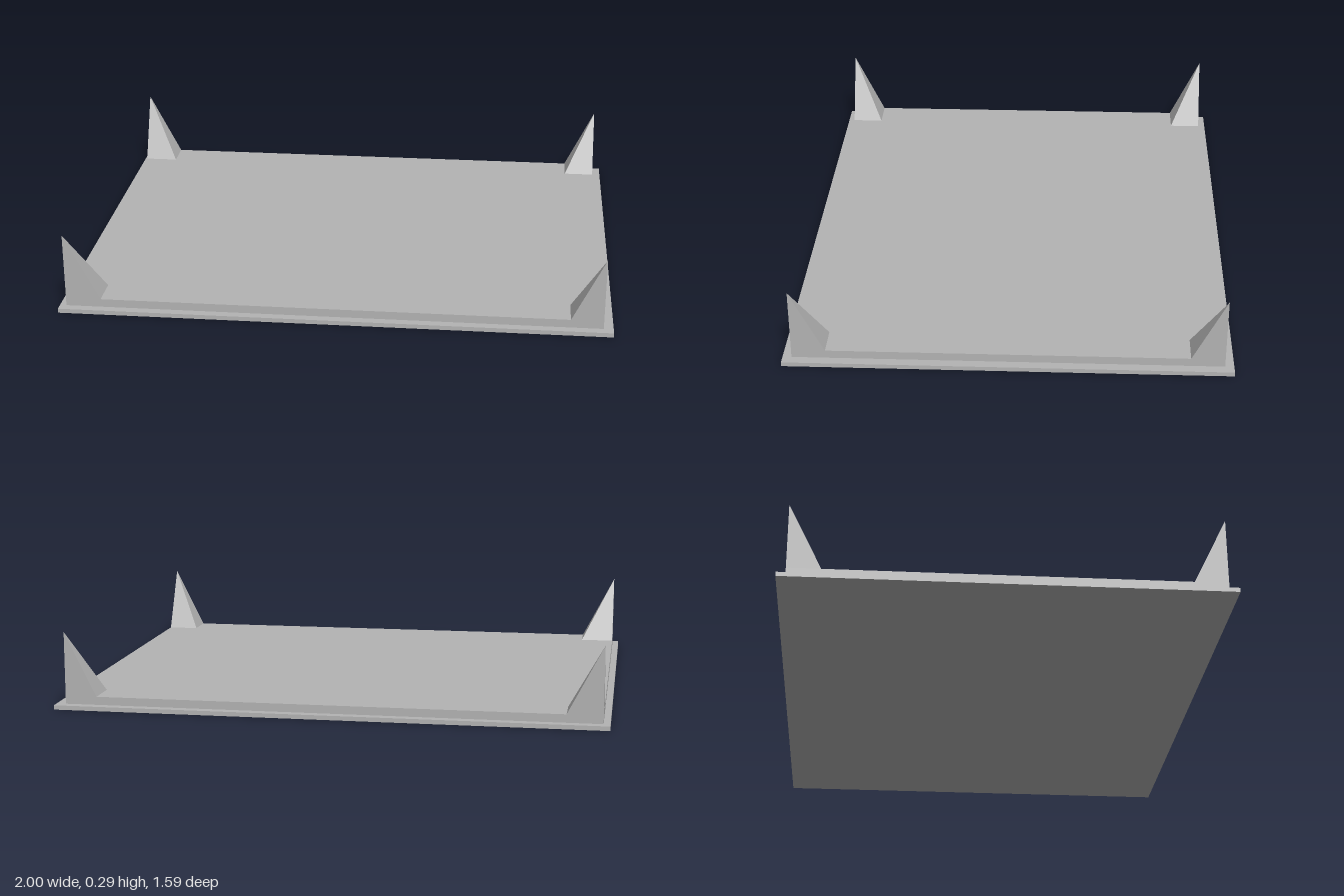
import * as THREE from 'three';
import { ConvexGeometry } from 'three/addons/geometries/ConvexGeometry.js';

const grey = new THREE.MeshStandardMaterial({ color: 0xb4b4b4 });
grey.name = 'grey';

function part(name, geometry) {
  const mesh = new THREE.Mesh(geometry, grey);
  mesh.name = name;
  return mesh;
}

// Box given by its extents
function slab(name, x0, x1, y0, y1, z) {
  const geometry = new THREE.BoxGeometry(x1 - x0, y1 - y0, 2 * z);
  geometry.translate((x0 + x1) / 2, (y0 + y1) / 2, 0);
  return part(name, geometry);
}

// Pyramid whose tip stands straight above its outer corner
function spike(name, xOut, xIn, zOut, zIn, y0, y1) {
  return part(name, new ConvexGeometry([
    new THREE.Vector3(xOut, y0, zOut),
    new THREE.Vector3(xIn, y0, zOut),
    new THREE.Vector3(xIn, y0, zIn),
    new THREE.Vector3(xOut, y0, zIn),
    new THREE.Vector3(xOut, y1, zOut),
  ]));
}

export function createModel() {
  const group = new THREE.Group();
  group.name = 'spikedPlatform';
  const left = 0.965, right = -0.976, depth = 0.763, top = 0.046;

  // Stepped floor
  group.add(slab('basePlate', -1, 1, 0, 0.016, 0.795));
  group.add(slab('upperSlab', right, left, 0.016, top, depth));

  // Corner spikes, flush with the upper slab
  for (const z of [1, -1]) {
    const end = z > 0 ? 'front' : 'back';
    group.add(spike(end + 'LeftSpike', left, 0.848, z * depth, z * 0.643, top, 0.282));
    group.add(spike(end + 'RightSpike', right, -0.848, z * depth, z * 0.643, top, 0.293));
  }
  return group;
}
